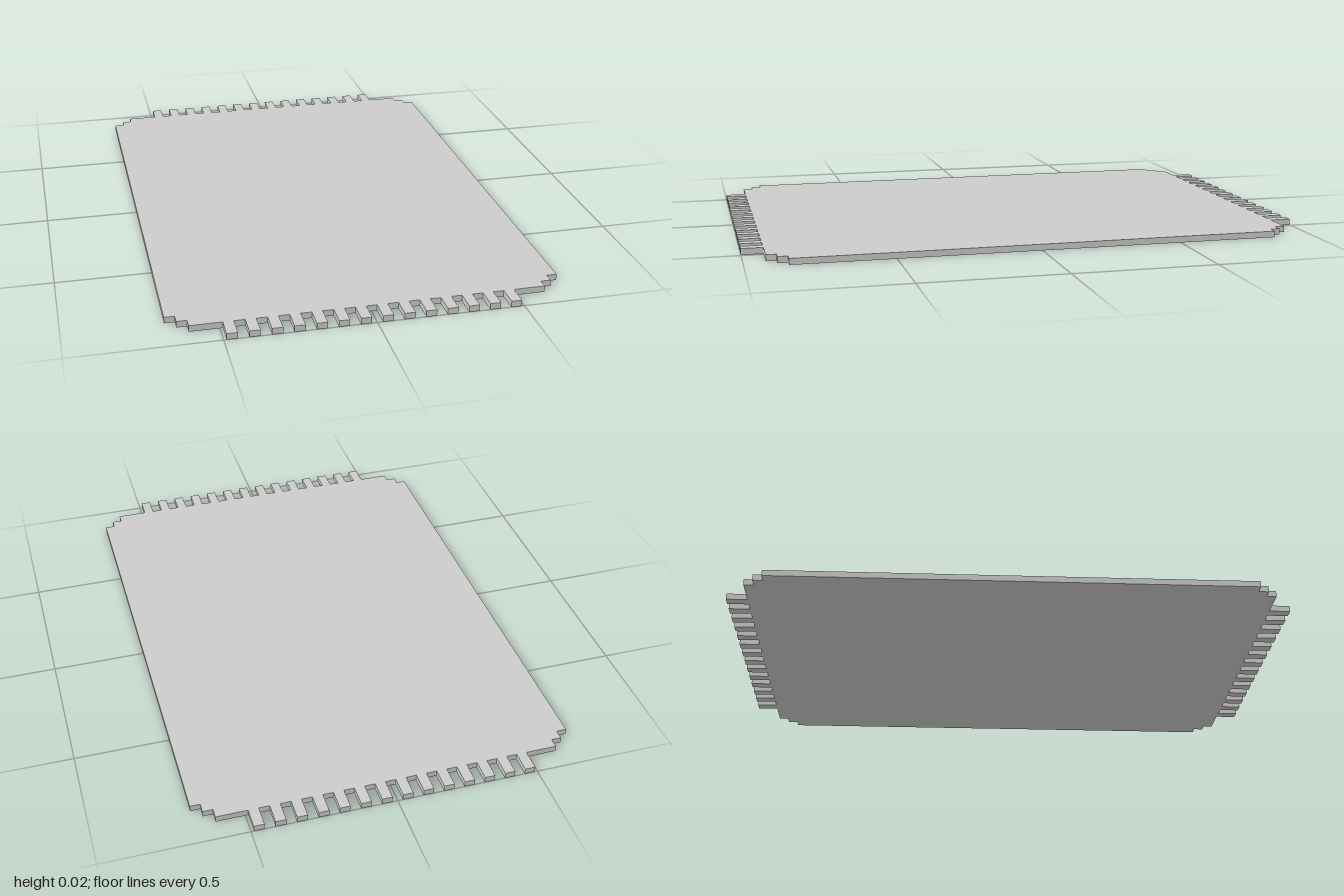
import * as THREE from 'three';

const THICKNESS = 0.022;

export function createModel() {
  const rug = new THREE.Group();
  rug.name = 'rug';
  const material = new THREE.MeshStandardMaterial({ color: 0xcccccc, flatShading: true });

  // Flat mat with two-step notched corners, mirrored to all four quadrants
  const corner = [[0.67, 0.855], [0.635, 0.855], [0.635, 0.89], [0.6, 0.89], [0.6, 0.925]];
  const mirrored = (sx, sz) => {
    const points = corner.map(([x, z]) => new THREE.Vector2(sx * x, sz * z));
    return sx * sz > 0 ? points : points.reverse();
  };
  const outline = [...mirrored(1, 1), ...mirrored(-1, 1), ...mirrored(-1, -1), ...mirrored(1, -1)];
  const matGeometry = new THREE.ExtrudeGeometry(new THREE.Shape(outline), {
    depth: THICKNESS, bevelEnabled: false,
  });
  matGeometry.rotateX(-Math.PI / 2);
  const mat = new THREE.Mesh(matGeometry, material);
  mat.name = 'mat';
  rug.add(mat);

  // Row of tassels along each short end
  const count = 14, width = 0.036, pitch = 0.0727, length = 0.075;
  const tasselGeometry = new THREE.BoxGeometry(width, THICKNESS, length);
  for (const side of [1, -1]) {
    const fringe = new THREE.Group();
    fringe.name = side > 0 ? 'frontFringe' : 'backFringe';
    for (let i = 0; i < count; i++) {
      const tassel = new THREE.Mesh(tasselGeometry, material);
      tassel.name = 'tassel';
      tassel.position.set((i - (count - 1) / 2) * pitch, THICKNESS / 2, side * (1 - length / 2));
      fringe.add(tassel);
    }
    rug.add(fringe);
  }
  return rug;
}
